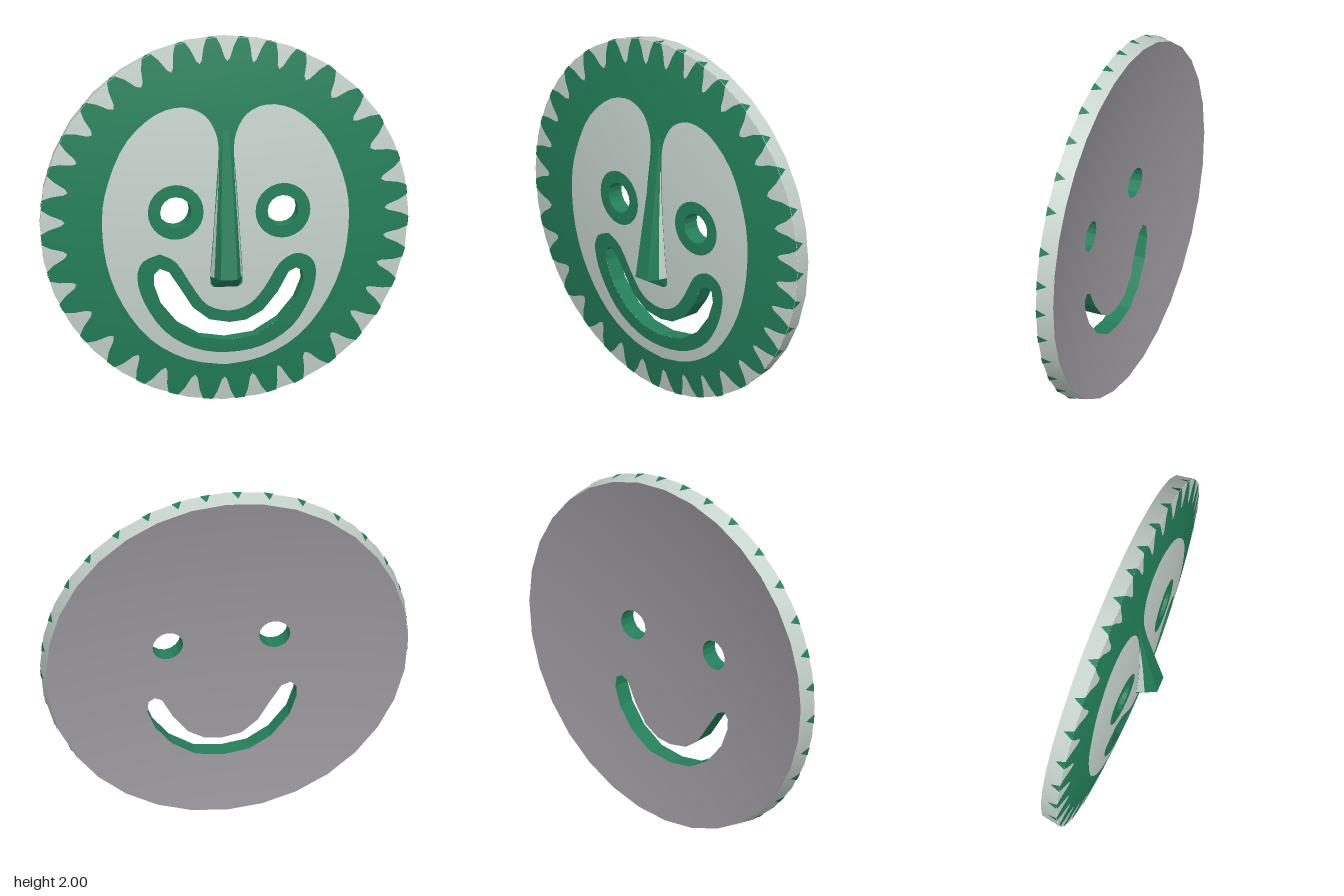
import * as THREE from 'three';

const material = (name, color, side = THREE.FrontSide) => {
  const m = new THREE.MeshStandardMaterial({ color, side });
  m.name = name;
  return m;
};
const green = material('green', 0x23805a, THREE.DoubleSide);
const pale = material('pale grey green', 0xc8d5ce);
const grey = material('back grey', 0x98959a);

const SIDES = 32, BULGE = 0.095, BACK_R = 0.985;
const V = (x, y) => new THREE.Vector2(x, y);
const frontZ = (x, y) => 0.05 - BULGE * (x * x + (y - 1) ** 2);
const backZ = (x, y) => -0.045 - BULGE * (x * x + (y - 1) ** 2) / BACK_R ** 2;

// Point at an angle in degrees on the 32-sided rim, scaled by k
function rim(deg, k = 1) {
  const s = 360 / SIDES, off = (((deg % s) + s) % s) - s / 2, rad = Math.PI / 180;
  const r = k * Math.cos(s / 2 * rad) / Math.cos(off * rad);
  return V(r * Math.cos(deg * rad), 1 + r * Math.sin(deg * rad));
}

const points = (list) => list.map(([x, y]) => V(x, y));
function smooth(list, n) {
  const pts = new THREE.SplineCurve(points([...list, list[0]])).getPoints(n);
  pts.pop();
  return pts;
}
function circle(x, y, r, n) {
  return Array.from({ length: n }, (_, i) =>
    V(x + r * Math.cos(i / n * 2 * Math.PI), y + r * Math.sin(i / n * 2 * Math.PI)));
}

function meshFrom(name, pos, mat, normals) {
  const g = new THREE.BufferGeometry();
  g.setAttribute('position', new THREE.Float32BufferAttribute(pos, 3));
  if (normals) g.setAttribute('normal', new THREE.Float32BufferAttribute(normals, 3));
  else g.computeVertexNormals();
  const m = new THREE.Mesh(g, mat);
  m.name = name;
  return m;
}

// Flat outline with holes, split into small triangles and bent onto the dome
function domed(name, outline, holes, mat, levels, back = false) {
  const shape = new THREE.Shape(outline);
  shape.holes = holes.map((h) => new THREE.Path(h));
  const g = new THREE.ShapeGeometry(shape), p = g.attributes.position, idx = g.index.array;
  let tris = [];
  for (let i = 0; i < idx.length; i += 3)
    tris.push([0, 1, 2].map((k) => V(p.getX(idx[i + k]), p.getY(idx[i + k]))));
  const mid = (a, b) => V((a.x + b.x) / 2, (a.y + b.y) / 2);
  for (let l = 0; l < levels; l++)
    tris = tris.flatMap(([a, b, c]) => {
      const d = mid(a, b), e = mid(b, c), f = mid(c, a);
      return [[a, d, f], [d, b, e], [f, e, c], [d, e, f]];
    });
  const pos = [], nor = [], s = back ? -1 : 1;
  for (const t of tris)
    for (const v of back ? [t[0], t[2], t[1]] : t) {
      pos.push(v.x, v.y, back ? backZ(v.x, v.y) : frontZ(v.x, v.y));
      const n = new THREE.Vector3(2 * BULGE * v.x, 2 * BULGE * (v.y - 1), 1).normalize().multiplyScalar(s);
      nor.push(n.x, n.y, n.z);
    }
  return meshFrom(name, pos, mat, nor);
}

// Wall joining front and back around an opening
function holeWall(name, loop) {
  const pos = [];
  loop.forEach((a, i) => {
    const b = loop[(i + 1) % loop.length];
    const A = [a.x, a.y, frontZ(a.x, a.y)], B = [b.x, b.y, frontZ(b.x, b.y)];
    const C = [a.x, a.y, backZ(a.x, a.y)], D = [b.x, b.y, backZ(b.x, b.y)];
    pos.push(...A, ...B, ...C, ...B, ...D, ...C);
  });
  return meshFrom(name, pos, green);
}

export function createModel() {
  const model = new THREE.Group();
  model.name = 'sunFaceMask';

  // Outlines of the openings and painted areas
  const eyes = [[-0.275, 1.06], [0.307, 1.05]];
  const eyeHoles = eyes.map(([x, y]) => circle(x, y, 0.084, 16));
  const eyeRings = eyes.map(([x, y]) => circle(x, y, 0.15, 28));
  const mouthHole = points([[-0.36, 0.75], [-0.39, 0.72], [-0.39, 0.66], [-0.35, 0.55], [-0.25, 0.43],
    [-0.13, 0.36], [0.01, 0.34], [0.16, 0.36], [0.29, 0.44], [0.38, 0.55], [0.42, 0.65], [0.415, 0.71],
    [0.38, 0.73], [0.34, 0.71], [0.28, 0.6], [0.2, 0.5], [0.11, 0.45], [0.02, 0.44], [-0.09, 0.46],
    [-0.18, 0.53], [-0.25, 0.64], [-0.31, 0.73]]);
  const mouthRing = smooth([[-0.36, 0.83], [-0.45, 0.79], [-0.48, 0.7], [-0.44, 0.56], [-0.33, 0.4],
    [-0.17, 0.3], [0.01, 0.27], [0.2, 0.3], [0.36, 0.4], [0.46, 0.56], [0.49, 0.7], [0.46, 0.78],
    [0.38, 0.81], [0.29, 0.76], [0.21, 0.63], [0.13, 0.54], [0.02, 0.505], [-0.1, 0.54], [-0.18, 0.64],
    [-0.27, 0.78]], 60);
  const half = [[0, 0.64], [-0.07, 0.645], [-0.088, 0.69], [-0.075, 0.9], [-0.055, 1.2], [-0.042, 1.4],
    [-0.065, 1.51], [-0.13, 1.595], [-0.25, 1.63], [-0.4, 1.58], [-0.55, 1.43], [-0.645, 1.2],
    [-0.67, 1], [-0.64, 0.76], [-0.55, 0.54], [-0.4, 0.35], [-0.2, 0.235], [0, 0.2]];
  const side = new THREE.SplineCurve(points(half)).getPoints(50);
  const panel = [...side, ...side.slice(1, -1).reverse().map((v) => V(-v.x, v.y))];

  // Pale notches around the rim, with green points running over the edge
  const peaks = [7, 18, 31, 42, 54, 65, 75, 84, 94, 104, 115, 128, 140, 152, 163, 174, 185, 197, 208,
    220, 232, 243, 254, 265, 275, 285, 294, 306, 317, 327, 337, 347, 357];
  const notch = [[0, 0], [0.18, 0.045], [0.36, 0.112], [0.5, 0.13], [0.64, 0.112], [0.82, 0.045], [1, 0]];
  const GAP = 1.6, field = [], spikes = [];
  const teeth = new THREE.Group();
  teeth.name = 'rimNotches';
  peaks.forEach((a, i) => {
    const from = a + GAP, to = (i + 1 < peaks.length ? peaks[i + 1] : peaks[0] + 360) - GAP;
    const inner = notch.map(([u, d]) => rim(from + (to - from) * u, 1 - d));
    const outer = [0.2, 0.4, 0.6, 0.8].map((u) => rim(from + (to - from) * u));
    field.push(...inner);
    teeth.add(domed('rimNotch', [inner[0], ...outer, ...inner.slice().reverse().slice(0, -1)], [], pale, 1));
    const l = rim(a - GAP, 1.003), r = rim(a + GAP, 1.003), tip = rim(a, 0.996);
    spikes.push(l.x, l.y, -0.044, tip.x, tip.y, -0.1, r.x, r.y, -0.044);
  });
  model.add(teeth, meshFrom('rimPoints', spikes, green));

  // Front faces
  model.add(domed('greenField', field, [panel], green, 3));
  model.add(domed('facePanel', panel, [...eyeRings, mouthRing], pale, 3));
  eyeRings.forEach((ring, i) => {
    model.add(domed('eyeRing', ring, [eyeHoles[i]], green, 1));
    model.add(holeWall('eyeOpening', eyeHoles[i]));
  });
  model.add(domed('lips', mouthRing, [mouthHole], green, 1));
  model.add(holeWall('mouthOpening', mouthHole));

  // Hollow back and rim band
  const backEdge = Array.from({ length: SIDES }, (_, i) => rim(i * 360 / SIDES, BACK_R));
  model.add(domed('back', backEdge, [...eyeHoles, mouthHole], grey, 3, true));
  const band = new THREE.Mesh(new THREE.CylinderGeometry(1, BACK_R, 0.095, SIDES, 1, true), pale);
  band.name = 'rimBand';
  band.rotation.x = Math.PI / 2;
  band.position.set(0, 1, -0.0925);
  model.add(band);

  // Nose lofted from sections: height, half width at base, half width at ridge, ridge depth
  const sections = [[1.5, 0.03, 0.015, 0.026], [1.3, 0.05, 0.026, 0.056], [1, 0.07, 0.036, 0.1],
    [0.7, 0.09, 0.045, 0.145], [0.64, 0.075, 0.06, 0.04]].map(([y, w, r, z]) => {
    const b = frontZ(0, y) - 0.008, m = w + (r - w) * 0.4, mz = b + (z - b) * 0.45;
    return [[-w, y, b], [-m, y, mz], [-r, y, z], [r, y, z], [m, y, mz], [w, y, b]];
  });
  const bridge = [], flanks = [];
  for (let i = 0; i + 1 < sections.length; i++)
    for (let j = 0; j < 5; j++) {
      const a = sections[i][j], b = sections[i][j + 1], c = sections[i + 1][j], d = sections[i + 1][j + 1];
      const onFlank = (j === 0 || j === 4) && (i === 1 || i === 2);
      (onFlank ? flanks : bridge).push(...a, ...c, ...b, ...b, ...c, ...d);
    }
  model.add(meshFrom('nose', bridge, green), meshFrom('noseFlanks', flanks, pale));
  return model;
}
